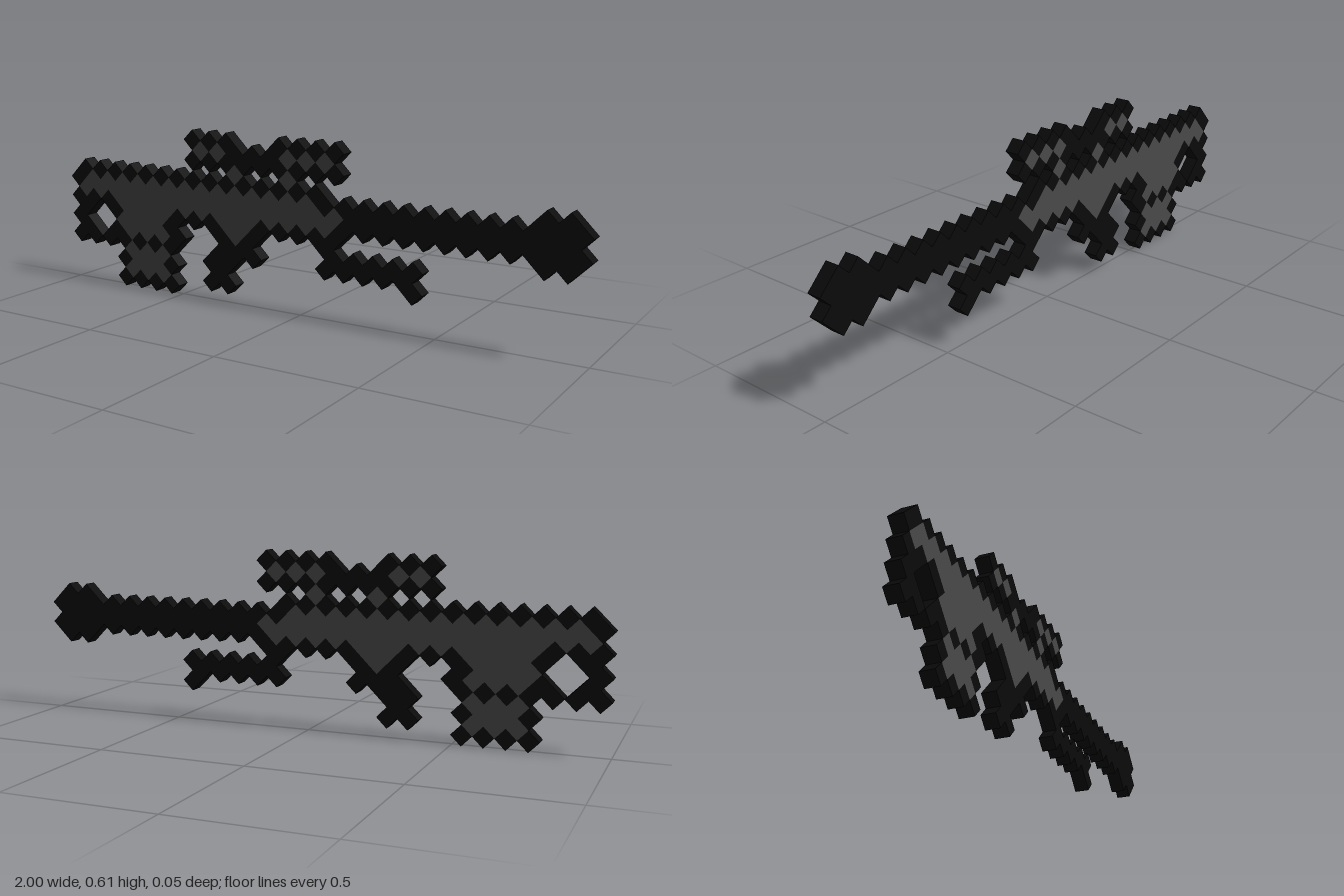
import * as THREE from 'three';
import { mergeGeometries } from 'three/addons/utils/BufferGeometryUtils.js';

// Square tiles turned 45 degrees; Q is half a tile's diagonal.
const Q = 1 / 28;
const SIDE = Q * Math.SQRT2;

const black = new THREE.MeshStandardMaterial({ color: 0x0a0a0a });
black.name = 'black';
const grey = new THREE.MeshStandardMaterial({ color: 0x4a4a4a });
grey.name = 'grey';

// Each run is [row, first column, last column]; columns step by two.
function tiles(name, material, runs) {
  const parts = [];
  for (const [row, first, last = first] of runs) {
    for (let col = first; col <= last; col += 2) {
      const tile = new THREE.BoxGeometry(SIDE, SIDE, 0.05);
      tile.rotateZ(Math.PI / 4);
      tile.translate(col * Q, row * Q, 0);
      parts.push(tile);
    }
  }
  const mesh = new THREE.Mesh(mergeGeometries(parts), material);
  mesh.name = name;
  return mesh;
}

export function createModel() {
  const model = new THREE.Group();
  model.name = 'tiledRifle';
  model.add(
    // Receiver with its dark outline
    tiles('receiver', grey, [
      [11, -25, 1], [10, -26, 4], [9, -21, 3],
      [8, -8, -6], [7, -7],
    ]),
    tiles('receiverOutline', black, [
      [12, -26, 2], [11, 3], [8, -14, -10], [8, -4, 4],
      [7, -9], [7, -5],
    ]),
    // Open loop at the rear
    tiles('stockLoop', black, [
      [11, -27], [9, -27, -23], [8, -26], [8, -22], [7, -27],
      [6, -26], [6, -22], [5, -27, -23],
    ]),
    // Lower block and its border
    tiles('lowerBlock', grey, [
      [8, -20, -16], [7, -21, -17], [6, -20, -16],
      [4, -20, -16], [3, -19, -17], [2, -20, -16],
    ]),
    tiles('lowerBlockOutline', black, [
      [7, -15], [6, -14], [5, -21, -15],
      [3, -21], [3, -15], [1, -21, -15],
    ]),
    // Grip and trigger
    tiles('grip', black, [
      [6, -8, -6], [5, -9, -7], [4, -10, -8], [3, -9], [2, -10, -8],
    ]),
    tiles('trigger', black, [[5, -5]]),
    // Sight on two posts
    tiles('sightOutline', black, [
      [16, -12, -8], [16, -2, 4], [15, -7, -3], [14, -12, 4],
    ]),
    tiles('sightBody', grey, [[15, -11, -9], [15, -1, 3]]),
    tiles('sightPosts', grey, [[13, -7], [13, -1]]),
    // Barrel, muzzle and front support
    tiles('barrel', black, [[11, 5, 21], [10, 6, 22], [9, 5, 21]]),
    tiles('muzzle', black, [
      [12, 24, 26], [11, 23, 27], [10, 24, 26], [9, 23, 27], [8, 24, 26],
    ]),
    tiles('frontSupport', black, [[7, 3], [6, 4, 12], [5, 3, 11], [4, 12]]),
  );
  return model;
}
